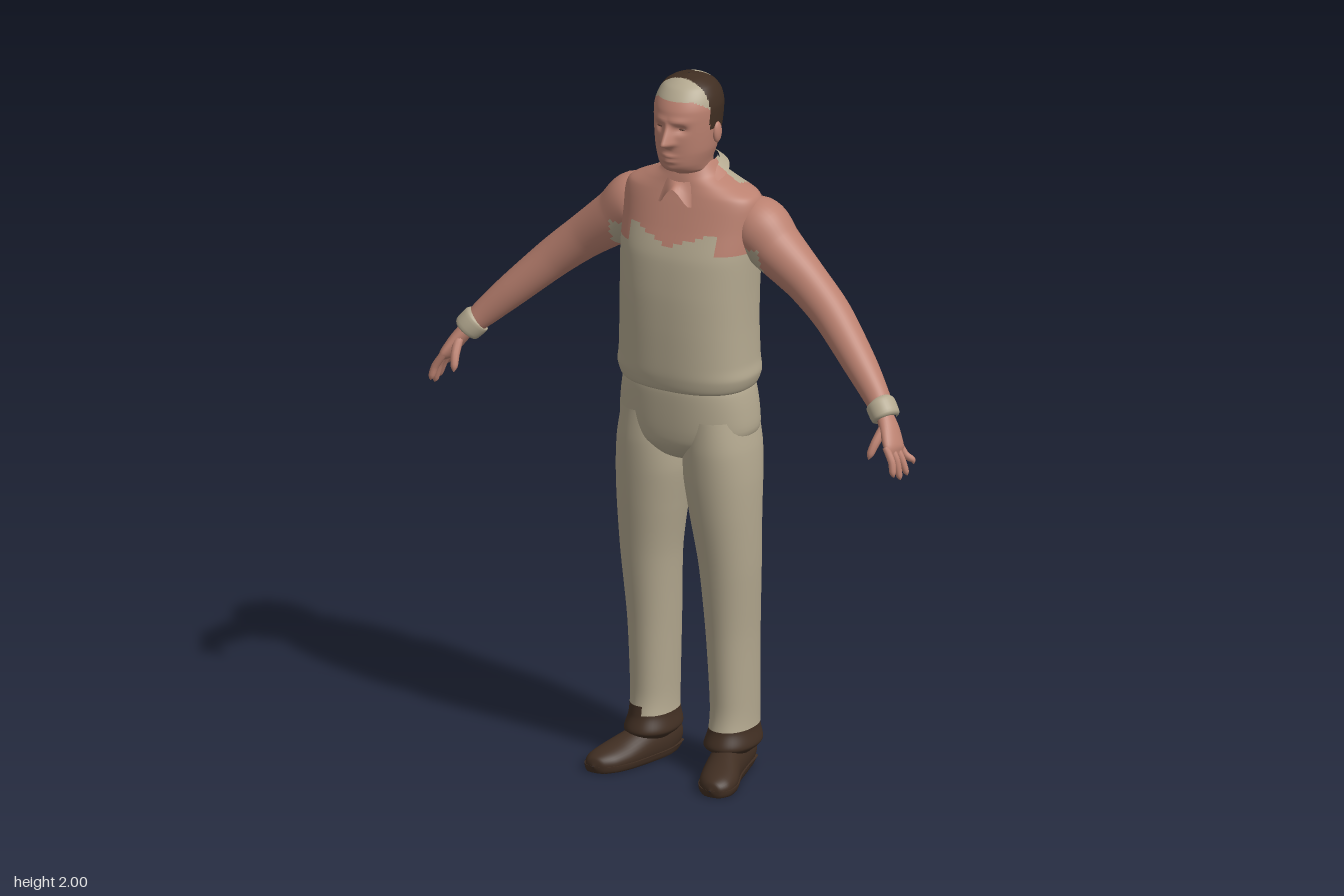
import * as THREE from 'three';

const flat = (name, color) => Object.assign(new THREE.MeshStandardMaterial({ color }), { name });
const V = (x, y, z) => new THREE.Vector3(x, y, z);
const bump = (d, s) => Math.exp(-(d * d) / (s * s));

// Closed-around (or open) grid of points; pick(p) chooses the material index of each quad.
function grid(name, point, nu, nv, mats, { pick = () => 0, mirror = false, open = false } = {}) {
  const pts = [], pos = [], cols = open ? nu + 1 : nu;
  for (let j = 0; j <= nv; j++) for (let i = 0; i < cols; i++) {
    const p = point(i / nu, j / nv);
    pts.push(p);
    pos.push(mirror ? -p.x : p.x, p.y, p.z);
  }
  const lists = mats.map(() => []);
  for (let j = 0; j < nv; j++) for (let i = 0; i < nu; i++) {
    const k = open ? i + 1 : (i + 1) % nu;
    const a = j * cols + i, b = j * cols + k, c = a + cols, d = b + cols;
    const mid = pts[a].clone().add(pts[b]).add(pts[c]).add(pts[d]).multiplyScalar(0.25);
    lists[pick(mid)].push(...(mirror ? [a, c, b, b, c, d] : [a, b, c, b, d, c]));
  }
  const g = new THREE.BufferGeometry();
  g.setAttribute('position', new THREE.Float32BufferAttribute(pos, 3));
  g.setIndex(lists.flat());
  let start = 0;
  lists.forEach((l, m) => { g.addGroup(start, l.length, m); start += l.length; });
  g.computeVertexNormals();
  const mesh = new THREE.Mesh(g, mats.length > 1 ? mats : mats[0]);
  mesh.name = name;
  return mesh;
}

// Smooth skin through rings [x, y, z, radius across, radius along ref].
function loft(name, rings, mats, o = {}) {
  const { nu = 32, nv = 24, ref = V(0, 0, 1), axis = null, n = 2, warp = p => p } = o;
  const centre = new THREE.CatmullRomCurve3(rings.map(r => V(r[0], r[1], r[2])), false, 'catmullrom', 0.4);
  const radii = new THREE.CatmullRomCurve3(rings.map(r => V(r[3], r[4], 0)), false, 'catmullrom', 0.4);
  const pw = c => Math.sign(c) * Math.abs(c) ** (2 / n);
  return grid(name, (u, v) => {
    const p = centre.getPoint(v), r = radii.getPoint(v), T = axis || centre.getTangent(v);
    const B = ref.clone().addScaledVector(T, -ref.dot(T)).normalize();
    const N = T.clone().cross(B), a = u * Math.PI * 2;
    return warp(p.addScaledVector(B, pw(Math.cos(a)) * r.y).addScaledVector(N, pw(Math.sin(a)) * r.x));
  }, nu, nv, mats, o);
}

// Upright rings given as [y, front z, back z, half width]
const upright = rows => rows.map(([y, f, b, w]) => [0, y, (f + b) / 2, w, (f - b) / 2]);

export function createModel() {
  const cloth = flat('beige cloth', 0xb3a88f), skin = flat('skin', 0xbb8170);
  const dark = flat('dark brown', 0x402e22), eyeMat = flat('eye shade', 0x6b473b);
  const collarSkin = skin.clone(), collarCloth = cloth.clone();
  for (const m of [collarSkin, collarCloth]) m.side = THREE.DoubleSide;
  collarSkin.name = 'collar front';
  collarCloth.name = 'collar back';
  const UP = V(0, 1, 0), model = new THREE.Group();
  model.name = 'standingMan';

  // Vest and yoke: jagged border across the chest, plain back
  const chestEdge = x => x < 0.105 ? 1.53 + x * 0.43 : x < 0.135 ? 1.575 : 1.525;
  model.add(loft('torso', upright([
    [1.115, 0.09, -0.14, 0.165], [1.125, 0.112, -0.162, 0.19], [1.16, 0.12, -0.171, 0.203],
    [1.2, 0.122, -0.172, 0.198], [1.3, 0.122, -0.17, 0.195], [1.4, 0.118, -0.171, 0.196],
    [1.5, 0.105, -0.172, 0.2], [1.58, 0.078, -0.17, 0.203], [1.64, 0.057, -0.157, 0.203],
    [1.67, 0.046, -0.145, 0.19], [1.695, 0.038, -0.13, 0.14], [1.72, 0.032, -0.118, 0.09],
    [1.755, 0.022, -0.105, 0.064]]), [cloth, skin, dark], {
    nu: 112, nv: 90, axis: UP, n: 2.35,
    pick: p => {
      const x = Math.abs(p.x);
      if (x > 0.18 && p.y > 1.44 && p.y < 1.52 && p.z < -0.08) return 2;
      if (p.z > -0.06) return p.y > chestEdge(x) ? 1 : 0;
      return x > 0.14 && p.y > 1.53 ? 1 : 0;
    },
  }));

  // Folded collar with two points in front
  model.add(grid('collar', (u, v) => {
    const a = (u * 2 - 1) * Math.PI, f = Math.abs(a);
    const drop = 0.012 + 0.012 * f / Math.PI + 0.052 * bump(f - 0.5, 0.3);
    const r = 0.076 + 0.027 * (1 - v);
    return V(Math.sin(a) * r, 1.735 - 0.03 * Math.cos(a) - drop * (1 - v), -0.035 + Math.cos(a) * r);
  }, 72, 4, [collarCloth, collarSkin], { open: true, pick: p => (p.z > -0.05 ? 1 : 0) }));

  // Head and neck: nose, brow, sockets, lips and chin pushed out by rule
  const face = p => {
    if (p.z < 0.02) return p;
    const x = Math.abs(p.x), y = p.y;
    const nose = y > 1.832 ? Math.max(0, (1.89 - y) / 0.058) : Math.max(0, (y - 1.816) / 0.016);
    p.z += 0.036 * nose * bump(x, 0.008 + 0.009 * nose)
      - 0.012 * bump(x - 0.033, 0.016) * bump(y - 1.872, 0.011)
      + 0.005 * bump(x - 0.025, 0.03) * bump(y - 1.895, 0.009)
      + 0.007 * bump(x, 0.022) * (bump(y - 1.795, 0.006) + bump(y - 1.78, 0.006))
      + 0.004 * bump(x, 0.02) * bump(y - 1.755, 0.01);
    return p;
  };
  model.add(loft('head', upright([
    [1.64, 0.02, -0.1, 0.066], [1.7, 0.022, -0.1, 0.063], [1.73, 0.034, -0.1, 0.062],
    [1.745, 0.07, -0.1, 0.062], [1.765, 0.086, -0.102, 0.067], [1.8, 0.09, -0.112, 0.078],
    [1.84, 0.092, -0.125, 0.084], [1.88, 0.091, -0.131, 0.088], [1.92, 0.085, -0.13, 0.09],
    [1.95, 0.07, -0.121, 0.083], [1.975, 0.048, -0.1, 0.068], [1.992, 0.018, -0.07, 0.04],
    [2, -0.02, -0.022, 0.001]]), [skin, dark, cloth], {
    nu: 128, nv: 96, axis: UP, warp: face,
    pick: p => {
      if (p.y > 1.94 && Math.hypot(p.x, p.z + 0.092) < 0.036) return 2;
      if (p.z < 0.01) return p.y > (p.z < -0.045 ? 1.8 : 1.86) ? 1 : 0;
      return p.y > 1.948 - Math.max(0, 0.05 - p.z) * 0.7 ? 2 : 0;
    },
  }));

  // Seat of the trousers
  model.add(loft('hips', upright([
    [0.89, 0.0, -0.05, 0.01], [0.92, 0.065, -0.12, 0.07], [0.96, 0.095, -0.15, 0.17],
    [1.0, 0.103, -0.16, 0.2], [1.06, 0.107, -0.162, 0.198], [1.12, 0.108, -0.158, 0.188],
    [1.16, 0.1, -0.15, 0.17]]), [cloth], { nu: 64, nv: 30, axis: UP, n: 2.3 }));

  for (const side of [1, -1]) {
    const label = side > 0 ? 'left' : 'right', mirror = side < 0;
    const add = (part, rings, mats, o = {}) => model.add(loft(label + part, rings, mats, { mirror, ...o }));

    // Ear and eye
    const blob = (part, mat, p, s) => {
      const m = new THREE.Mesh(new THREE.SphereGeometry(1, 16, 12), mat);
      m.position.set(p[0] * side, p[1], p[2]);
      m.scale.set(...s);
      m.name = label + part;
      model.add(m);
    };
    blob('Ear', skin, [0.087, 1.845, -0.025], [0.01, 0.03, 0.018]);
    blob('Eye', eyeMat, [0.033, 1.873, 0.071], [0.011, 0.004, 0.006]);

    // Arm, with the cloth reaching under the armpit
    add('Arm', [
      [0.12, 1.585, -0.07, 0.06, 0.06], [0.19, 1.575, -0.07, 0.087, 0.083], [0.25, 1.526, -0.067, 0.076, 0.074],
      [0.35, 1.45, -0.06, 0.062, 0.058], [0.44, 1.375, -0.045, 0.055, 0.054], [0.55, 1.27, -0.005, 0.046, 0.046],
      [0.62, 1.2, 0.025, 0.037, 0.036], [0.665, 1.15, 0.047, 0.026, 0.032]], [skin, cloth], {
      nv: 56, nu: 40, pick: p => (p.x < 0.235 && p.y < 1.535 ? 1 : 0),
    });
    add('Cuff', [[0.634, 1.186, 0.031, 0.03, 0.03], [0.638, 1.182, 0.033, 0.041, 0.041],
      [0.662, 1.154, 0.045, 0.039, 0.041], [0.666, 1.149, 0.047, 0.025, 0.03]], [cloth], { nv: 12 });

    // Hand with four fingers and a thumb
    add('Palm', [[0.658, 1.158, 0.045, 0.022, 0.026], [0.682, 1.125, 0.058, 0.021, 0.035],
      [0.706, 1.085, 0.076, 0.017, 0.04], [0.716, 1.068, 0.081, 0.006, 0.03]], [skin], { nv: 14 });
    for (let i = 0; i < 4; i++) {
      const z = 0.047 + i * 0.02, tz = 0.036 + i * 0.028, ty = [1.03, 1.005, 1.0, 1.015][i], tx = 0.745 - i * 0.004;
      add('Finger' + (i + 1), [[0.7, 1.092, z, 0.01, 0.011], [0.722, 1.055, (z + tz) / 2, 0.0105, 0.0105],
        [tx - 0.004, ty + 0.012, tz, 0.009, 0.009], [tx, ty, tz, 0.001, 0.001]], [skin], { nu: 10, nv: 10 });
    }
    add('Thumb', [[0.672, 1.13, 0.075, 0.014, 0.014], [0.664, 1.095, 0.105, 0.013, 0.012],
      [0.658, 1.068, 0.12, 0.01, 0.01], [0.656, 1.054, 0.126, 0.001, 0.001]], [skin], { nu: 10, nv: 10, ref: V(1, 0, 0) });

    // Trouser leg, dark at the hem and up the heel
    add('Leg', [
      [0.126, 0.06, -0.045, 0.045, 0.06], [0.126, 0.085, -0.044, 0.07, 0.098], [0.126, 0.13, -0.05, 0.061, 0.088],
      [0.126, 0.2, -0.054, 0.06, 0.084], [0.124, 0.4, -0.047, 0.067, 0.087], [0.124, 0.6, -0.032, 0.08, 0.093],
      [0.115, 0.75, -0.024, 0.094, 0.104], [0.107, 0.86, -0.024, 0.103, 0.115], [0.104, 0.95, -0.026, 0.1, 0.122],
      [0.1, 1.04, -0.027, 0.088, 0.12]], [cloth, dark], {
      nu: 48, nv: 100, axis: UP, n: 2.15,
      pick: p => (p.y < (p.z < -0.108 ? 0.195 : mirror && p.x > 0.12 && p.z > -0.02 ? 0.16 : 0.132) ? 1 : 0),
    });

    // Shoe and sole, toes turned outward
    const shoe = grow => [
      [0.115, 0.05, -0.142, 0.008, 0.008], [0.117, 0.045, -0.128, 0.045, 0.034], [0.122, 0.04, -0.06, 0.062, 0.046],
      [0.14, 0.036, 0.02, 0.057, 0.051], [0.164, 0.027, 0.09, 0.042, 0.057], [0.178, 0.022, 0.14, 0.033, 0.049],
      [0.184, 0.02, 0.168, 0.022, 0.028], [0.185, 0.02, 0.177, 0.002, 0.002]]
      .map(([x, y, z, a, b]) => [x, y, z, a + grow, b + grow]);
    const clampTo = top => p => p.setY(THREE.MathUtils.clamp(p.y, 0, top));
    const shoeShape = { ref: V(1, 0, 0), axis: V(0, 0, 1), nu: 36, nv: 36 };
    add('Shoe', shoe(0), [dark], { ...shoeShape, warp: clampTo(1) });
    add('Sole', shoe(0.003), [dark], { ...shoeShape, n: 2.6, warp: clampTo(0.02) });
  }
  return model;
}
